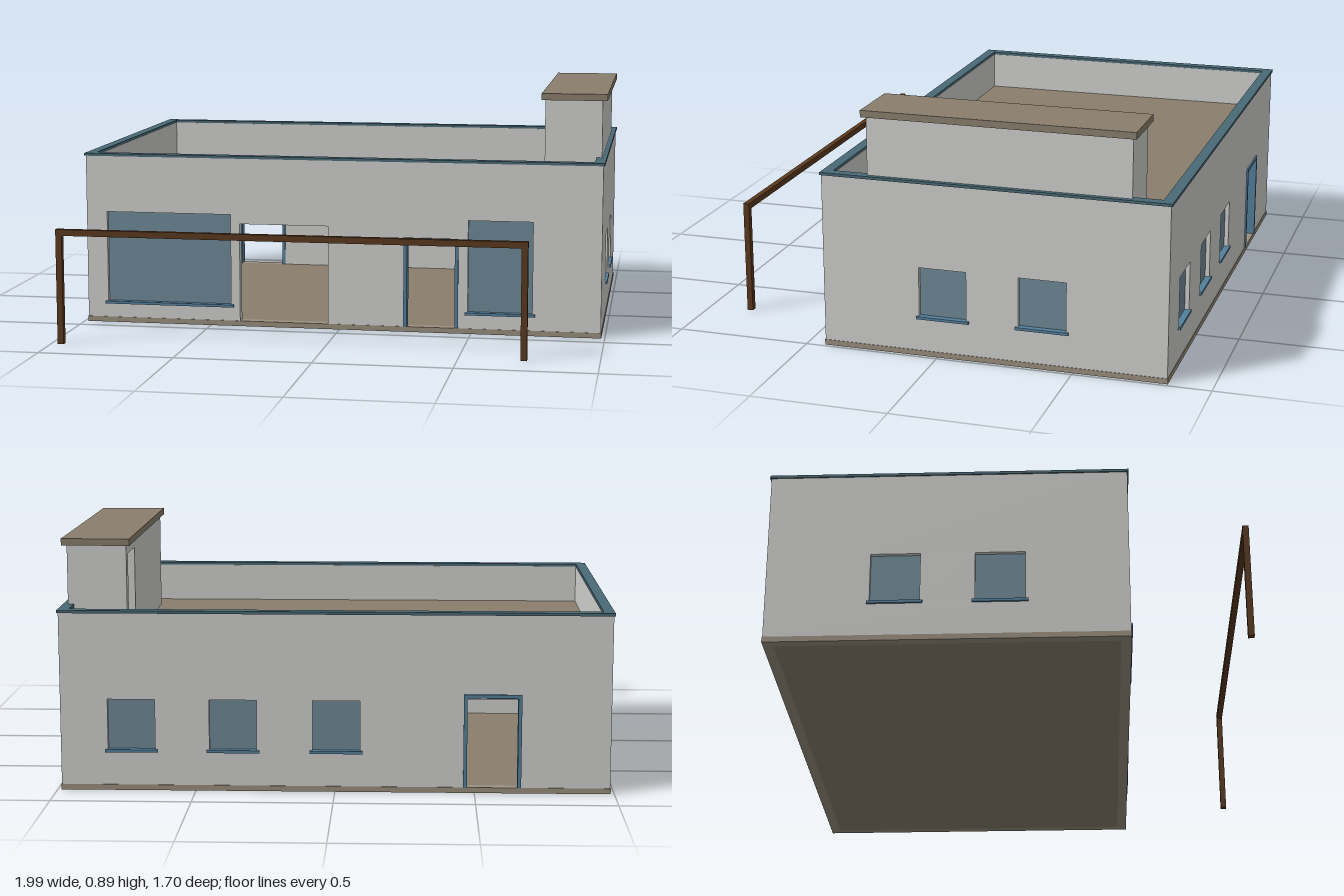
import * as THREE from 'three';

const mat = (name, color, side = THREE.FrontSide) => {
  const m = new THREE.MeshStandardMaterial({ color, side });
  m.name = name;
  return m;
};

export function createModel() {
  const model = new THREE.Group();
  model.name = 'house';
  const plaster = mat('plaster', 0xd0d0ce);
  const tan = mat('tan concrete', 0x8a7f6d);
  const plinthTan = mat('plinth tan', 0x9a8f7e);
  const coping = mat('coping teal', 0x4a6a76);
  const trim = mat('trim blue', 0x54809c);
  const glass = mat('glass blue', 0x6f8a98);
  const wood = mat('brown wood', 0x5a391e);

  const X = 0.985, ZF = 0.43, ZB = -0.84, T = 0.035;
  const BASE = 0.02, TOP = 0.645, ROOF = 0.5;

  // Box given by its limits on each axis
  const box = (parent, name, m, x0, x1, y0, y1, z0, z1) => {
    const mesh = new THREE.Mesh(new THREE.BoxGeometry(x1 - x0, y1 - y0, z1 - z0), m);
    mesh.position.set((x0 + x1) / 2, (y0 + y1) / 2, (z0 + z1) / 2);
    mesh.name = name;
    parent.add(mesh);
  };

  // Flat rectangular ring lying on height y
  const ring = (name, m, x0, x1, z0, z1, w, y, h) => {
    const s = new THREE.Shape([[x0, -z1], [x1, -z1], [x1, -z0], [x0, -z0]].map(p => new THREE.Vector2(...p)));
    s.holes.push(new THREE.Path([[x0 + w, -z1 + w], [x0 + w, -z0 - w], [x1 - w, -z0 - w], [x1 - w, -z1 + w]]
      .map(p => new THREE.Vector2(...p))));
    const g = new THREE.ExtrudeGeometry(s, { depth: h, bevelEnabled: false });
    g.rotateX(-Math.PI / 2);
    g.translate(0, y, 0);
    const mesh = new THREE.Mesh(g, m);
    mesh.name = name;
    model.add(mesh);
  };

  // Wall with outer face on local z = 0; doors are notches, windows are holes
  const wall = (name, a, b, y0, y1, { doors = [], windows = [] }, pos, turn) => {
    const group = new THREE.Group();
    group.name = name;
    const s = new THREE.Shape();
    s.moveTo(a, y0);
    for (const d of doors) {
      s.lineTo(d.x0, y0);
      s.lineTo(d.x0, d.top);
      s.lineTo(d.x1, d.top);
      s.lineTo(d.x1, y0);
    }
    s.lineTo(b, y0);
    s.lineTo(b, y1);
    s.lineTo(a, y1);
    s.closePath();
    for (const [x0, x1, w0, w1] of windows) {
      const h = new THREE.Path();
      h.moveTo(x0, w0);
      h.lineTo(x0, w1);
      h.lineTo(x1, w1);
      h.lineTo(x1, w0);
      h.closePath();
      s.holes.push(h);
      box(group, 'windowGlass', glass, x0, x1, w0, w1, -0.024, -0.016);
      box(group, 'windowSill', trim, x0 - 0.01, x1 + 0.01, w0 - 0.008, w0 + 0.002, -0.016, 0.008);
    }
    const g = new THREE.ExtrudeGeometry(s, { depth: T, bevelEnabled: false });
    g.translate(0, 0, -T);
    const mesh = new THREE.Mesh(g, plaster);
    mesh.name = name + 'Panel';
    group.add(mesh);
    // Door frames
    const f = 0.013;
    for (const d of doors.filter(d => d.framed)) {
      box(group, 'doorJamb', trim, d.x0, d.x0 + f, y0, d.top, -T - 0.003, 0.006);
      box(group, 'doorJamb', trim, d.x1 - f, d.x1, y0, d.top, -T - 0.003, 0.006);
      box(group, 'doorHead', trim, d.x0, d.x1, d.top - f, d.top, -T - 0.003, 0.006);
    }
    group.position.set(...pos);
    group.rotation.y = turn;
    model.add(group);
  };

  // Main walls
  wall('frontWall', -X, X, BASE, TOP, {
    doors: [{ x0: -0.385, x1: -0.043, top: 0.395 }, { x0: 0.245, x1: 0.452, top: 0.36, framed: true }],
    windows: [[-0.905, -0.42, 0.08, 0.43], [0.488, 0.73, 0.08, 0.43]],
  }, [0, 0, ZF], 0);
  wall('backWall', -X, X, BASE, TOP, {
    doors: [{ x0: 0.46, x1: 0.667, top: 0.36, framed: true }],
    windows: [[-0.815, -0.645], [-0.45, -0.28], [-0.08, 0.09]].map(w => [...w, 0.148, 0.333]),
  }, [0, 0, ZB], Math.PI);
  const sideWindows = [[-0.475, -0.3], [-0.108, 0.068]];
  wall('rightWall', ZB + T, ZF - T, BASE, TOP,
    { windows: sideWindows.map(w => [...w, 0.148, 0.333]) }, [-X, 0, 0], -Math.PI / 2);
  wall('leftWall', -ZF + T, -ZB - T, BASE, TOP,
    { windows: sideWindows.map(([p, q]) => [-q, -p, 0.148, 0.333]) }, [X, 0, 0], Math.PI / 2);

  // Plinth, floor, roof deck and parapet coping
  ring('plinth', plinthTan, -X - 0.002, X + 0.002, ZB - 0.002, ZF + 0.002, T + 0.002, 0, BASE);
  box(model, 'floor', tan, -X + T, X - T, 0, BASE, ZB + T, ZF - T);
  box(model, 'roofDeck', tan, -X + T, X - T, ROOF - 0.03, ROOF, ZB + T, ZF - T);
  ring('parapetCoping', coping, -X - 0.005, X + 0.005, ZB - 0.005, ZF + 0.005, 0.039, TOP, 0.01);

  // Rooftop stair house with a doorway facing the roof
  const sx0 = 0.757, sx1 = 0.972, sz0 = -0.702, sz1 = 0.26, sTop = 0.87;
  wall('stairFrontWall', sx0, sx1, ROOF, sTop, {}, [0, 0, sz1], 0);
  wall('stairBackWall', -sx1, -sx0, ROOF, sTop, {}, [0, 0, sz0], Math.PI);
  wall('stairOuterWall', -sz1 + T, -sz0 - T, ROOF, sTop, {}, [sx1, 0, 0], Math.PI / 2);
  wall('stairInnerWall', sz0 + T, sz1 - T, ROOF, sTop,
    { doors: [{ x0: -0.66, x1: -0.49, top: 0.835 }] }, [sx0, 0, 0], -Math.PI / 2);
  box(model, 'stairPartition', plaster, sx0 + T, sx1 - T, ROOF, sTop, -0.49, -0.47);
  box(model, 'stairRoof', tan, 0.743, 0.99, sTop, 0.895, -0.717, 0.275);

  // Freestanding timber frame in front
  const fz0 = 0.828, fz1 = 0.85, fx0 = -0.975, fx1 = 0.744, fw = 0.023, fTop = 0.425;
  box(model, 'framePost', wood, fx0, fx0 + fw, 0, fTop - fw, fz0, fz1);
  box(model, 'framePost', wood, fx1 - fw, fx1, 0, fTop - fw, fz0, fz1);
  box(model, 'frameBeam', wood, fx0, fx1, fTop - fw, fTop, fz0, fz1);

  return model;
}
